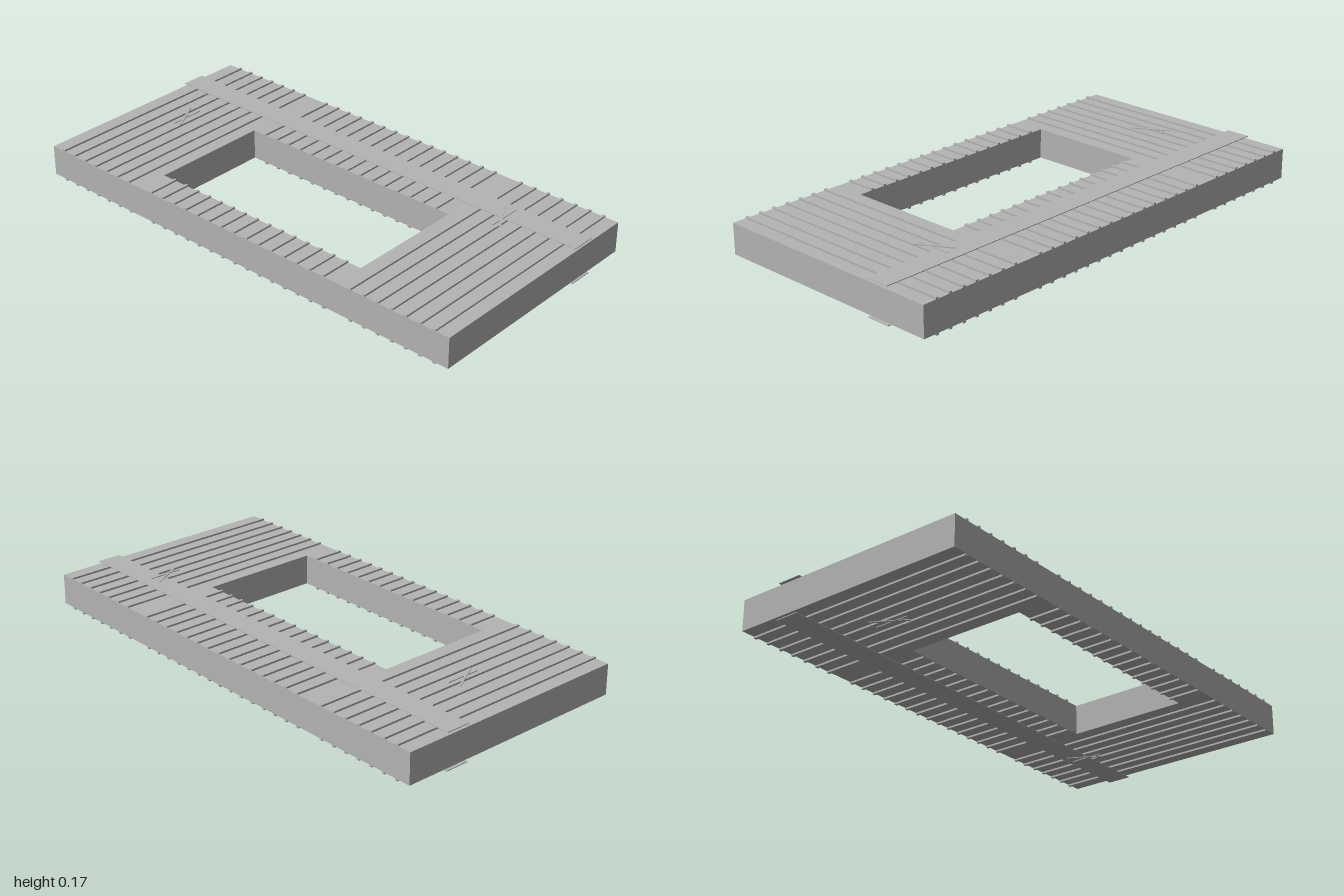
import * as THREE from 'three';

export function createModel() {
  const group = new THREE.Group();
  group.name = 'ribbedFrame';
  const grey = new THREE.MeshStandardMaterial({ color: 0xb4b4b4 });
  grey.name = 'grey';
  const MID = 0.0875; // the top and the underside mirror about this height

  // Box given by its ranges in x, y and z
  function box(name, x0, x1, y0, y1, z0, z1, parent = group) {
    const mesh = new THREE.Mesh(new THREE.BoxGeometry(x1 - x0, y1 - y0, z1 - z0), grey);
    mesh.position.set((x0 + x1) / 2, (y0 + y1) / 2, (z0 + z1) / 2);
    mesh.name = name;
    parent.add(mesh);
    return mesh;
  }

  // Slab with a rectangular opening
  const outline = new THREE.Shape();
  outline.moveTo(-1, -0.5).lineTo(1, -0.5).lineTo(1, 0.5).lineTo(-1, 0.5).closePath();
  const opening = new THREE.Path();
  opening.moveTo(-0.5, -0.37).lineTo(-0.5, 0.13).lineTo(0.5, 0.13).lineTo(0.5, -0.37).closePath();
  outline.holes.push(opening);
  const slabGeometry = new THREE.ExtrudeGeometry(outline, { depth: 0.125, bevelEnabled: false });
  slabGeometry.rotateX(-Math.PI / 2);
  const slab = new THREE.Mesh(slabGeometry, grey);
  slab.position.y = MID - 0.0625;
  slab.name = 'slab';
  group.add(slab);

  for (const side of [1, -1]) {
    const label = side > 0 ? 'top' : 'bottom';
    // Layer between two distances from the middle height
    const layer = (name, x0, x1, d0, d1, z0, z1, parent) =>
      box(name, x0, x1, Math.min(MID + side * d0, MID + side * d1),
        Math.max(MID + side * d0, MID + side * d1), z0, z1, parent);

    // Narrow ribs, interrupted by the opening
    const ribs = new THREE.Group();
    ribs.name = label + 'Ribs';
    group.add(ribs);
    for (let i = -15; i <= 15; i++) {
      if (Math.abs(i) === 8) continue;
      const x = i * 0.0625;
      const spans = Math.abs(i) > 8 ? [[-0.5, 0.5]] : [[-0.5, -0.13], [0.37, 0.5]];
      for (const [z0, z1] of spans) {
        layer('rib', x - 0.006, x + 0.006, 0.0625, 0.07, z0, z1, ribs);
      }
    }

    // Long cross band
    layer(label + 'Band', -1, 1, 0.072, 0.075, -0.325, -0.225);

    // Pairs of thin crossing scratches
    for (const [x, z] of [[-0.755, 0], [0.688, -0.22]]) {
      const scratch = new THREE.Group();
      scratch.name = label + 'Scratch';
      scratch.position.set(x, 0, z);
      group.add(scratch);
      layer('straightStroke', -0.002, 0.002, 0.0835, 0.0865, -0.072, 0.072, scratch);
      const slant = layer('slantedStroke', -0.004, 0.004, 0.084, 0.0875, -0.075, 0.075, scratch);
      slant.position.x = -0.01;
      slant.rotation.y = Math.PI / 6;
    }
  }
  return group;
}
